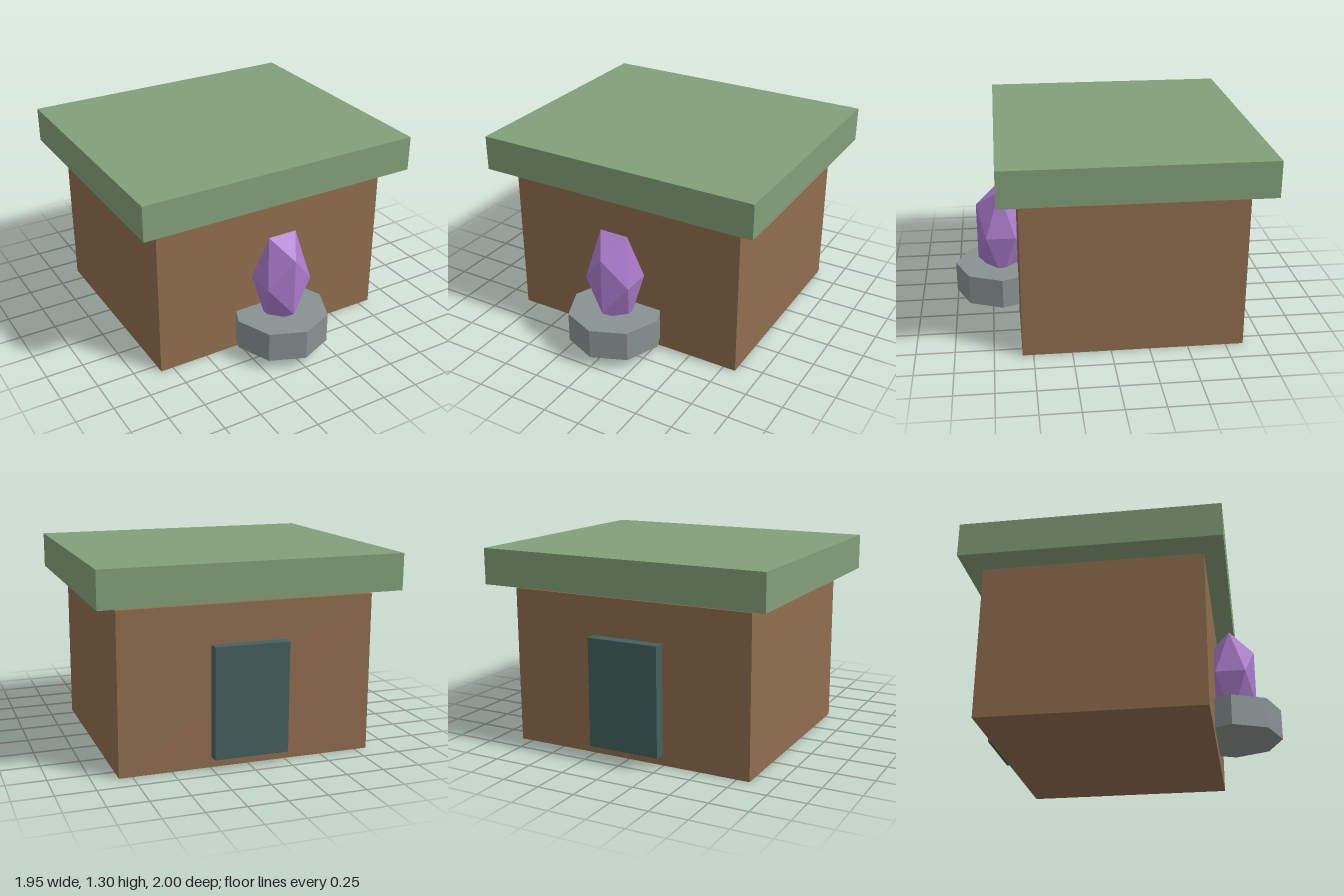
import * as THREE from 'three';

export function createModel() {
  const model = new THREE.Group();

  function add(name, geometry, color, x, y, z) {
    const material = new THREE.MeshStandardMaterial({ color, flatShading: true });
    const mesh = new THREE.Mesh(geometry, material);
    mesh.name = name;
    mesh.position.set(x, y, z);
    model.add(mesh);
    return mesh;
  }

  // Hut: walls and a flat roof slab floating just above them
  add('walls', new THREE.BoxGeometry(1.67, 1.035, 1.435), 0x8f6d4d, 0, 0.5175, -0.148);
  add('roof', new THREE.BoxGeometry(1.95, 0.235, 1.7), 0x829f78, 0, 1.1875, -0.15);

  // Door slab on the back wall
  add('door', new THREE.BoxGeometry(0.487, 0.715, 0.08), 0x43605e, 0, 0.4275, -0.9);

  // Eight-sided pedestal, partly sunk into the front wall
  add('pedestal', new THREE.CylinderGeometry(0.32, 0.32, 0.205, 8), 0x889291, 0, 0.1775, 0.68);

  // Crystal: a stretched icosahedron
  const crystal = add('crystal', new THREE.IcosahedronGeometry(0.19, 0), 0xaa7acb, 0, 0.52, 0.68);
  crystal.scale.y = 1.98;

  return model;
}
